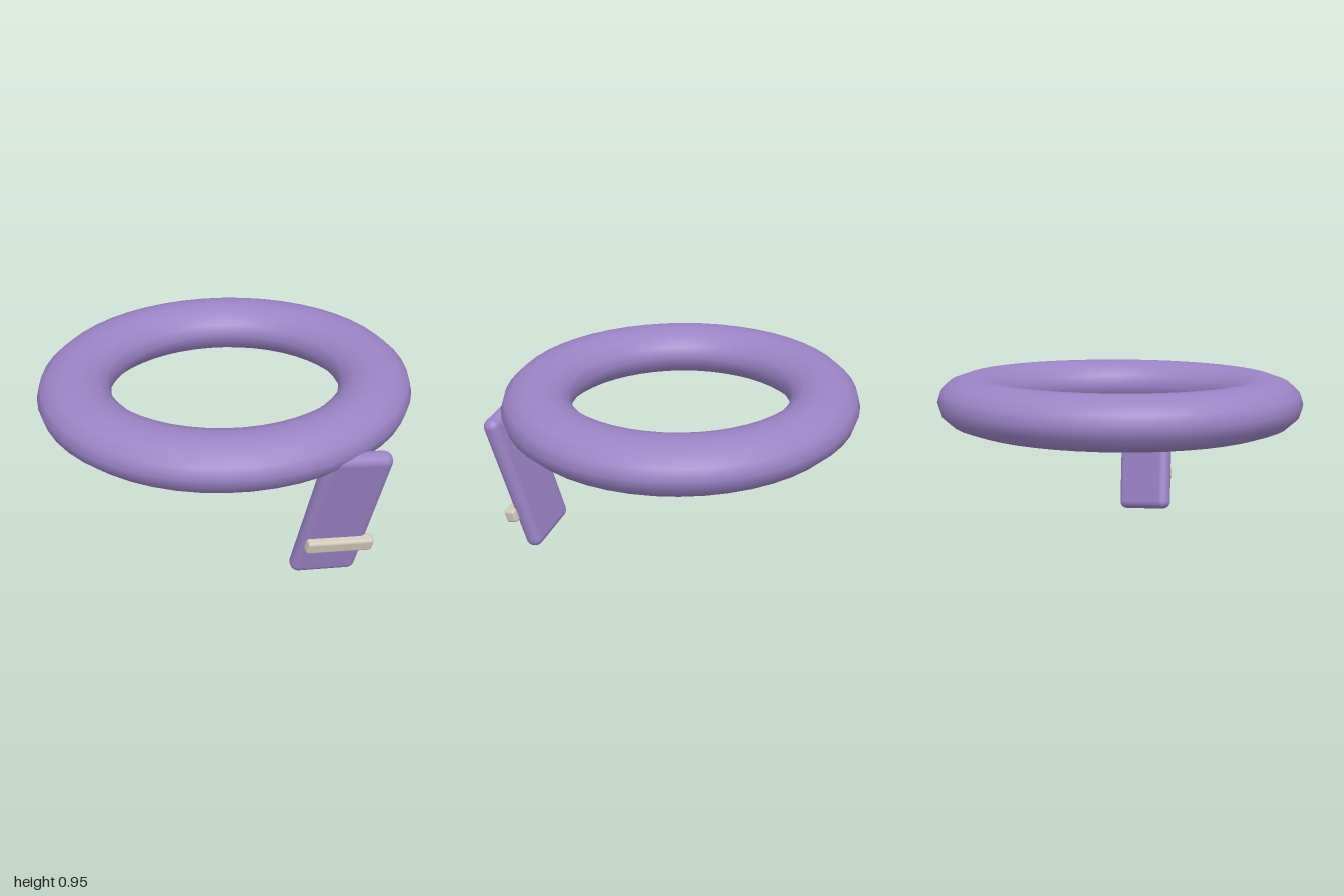
import * as THREE from 'three';
import { RoundedBoxGeometry } from 'three/addons/geometries/RoundedBoxGeometry.js';

export function createModel() {
  const model = new THREE.Group();
  model.name = 'ringWithStrap';

  const purple = new THREE.MeshStandardMaterial({ name: 'purple', color: 0x9b84c6 });
  const cream = new THREE.MeshStandardMaterial({ name: 'cream', color: 0xd2cabb });

  const add = (name, geometry, material, parent = model) => {
    const mesh = new THREE.Mesh(geometry, material);
    mesh.name = name;
    parent.add(mesh);
    return mesh;
  };

  // Flattened, slightly oval ring
  const ringGeometry = new THREE.TorusGeometry(0.805, 0.195, 14, 48);
  ringGeometry.rotateX(-Math.PI / 2).scale(1, 0.71, 0.952);
  add('ring', ringGeometry, purple).position.y = 0.815;

  // Hanging strap, leaning outward at the top and turned a little sideways
  const across = new THREE.Vector3(1, -0.14, 0.128).normalize();
  const along = new THREE.Vector3(0.11, 1, 0.235).normalize();
  const outward = across.clone().cross(along).normalize();
  across.crossVectors(along, outward);

  const hanging = new THREE.Group();
  hanging.name = 'hangingStrap';
  hanging.setRotationFromMatrix(new THREE.Matrix4().makeBasis(across, along, outward));
  hanging.position.set(0.275, 0.41, 0.805);
  model.add(hanging);

  add('strap', new RoundedBoxGeometry(0.36, 0.8, 0.095, 3, 0.044), purple, hanging);

  // Pale band across the strap's outer face
  const band = add('band', new RoundedBoxGeometry(0.366, 0.078, 0.066, 3, 0.018), cream, hanging);
  band.position.set(0.027, -0.173, 0.053);

  return model;
}
